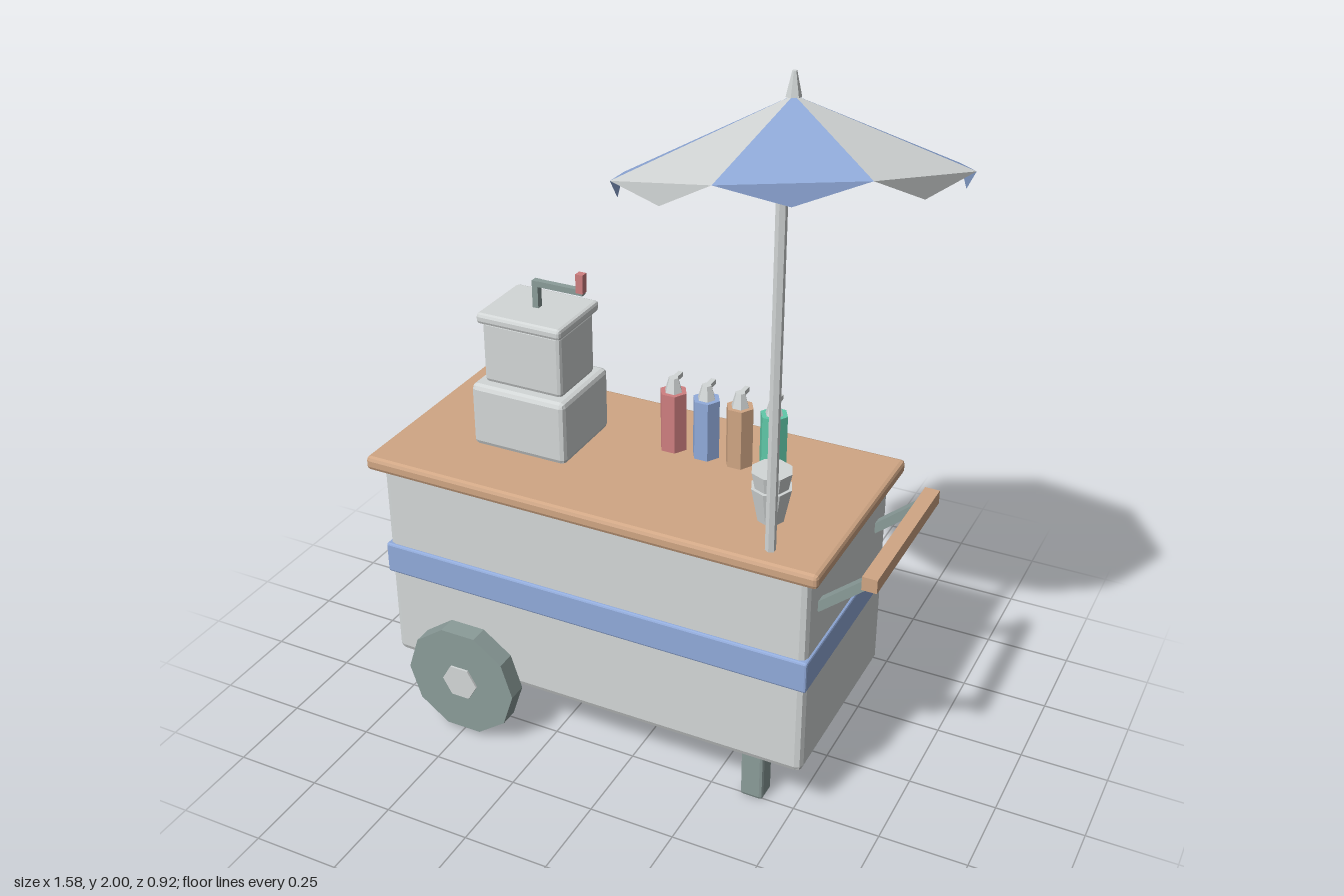
import * as THREE from 'three';
import { RoundedBoxGeometry } from 'three/addons/geometries/RoundedBoxGeometry.js';

const paint = (name, color) => {
  const m = new THREE.MeshStandardMaterial({ color, flatShading: true });
  m.name = name;
  return m;
};

export function createModel() {
  const cart = new THREE.Group();
  cart.name = 'vendorCart';
  const grey = paint('lightGrey', 0xd3d7d7);
  const blue = paint('blue', 0x91abdb);
  const tan = paint('wood', 0xd0a684);
  const slate = paint('slate', 0x8b9c99);
  const red = paint('red', 0xcf7f80);
  const green = paint('green', 0x60c9a9);
  const canopyGrey = grey.clone();
  const canopyBlue = blue.clone();
  canopyGrey.side = canopyBlue.side = THREE.DoubleSide;

  const add = (name, geo, mat, x, y, z, parent = cart) => {
    const mesh = new THREE.Mesh(geo, mat);
    mesh.name = name;
    mesh.position.set(x, y, z);
    parent.add(mesh);
    return mesh;
  };
  // Box given by its extents, with optional chamfered edges
  const box = (name, mat, [x0, x1], [y0, y1], [z0, z1], bevel = 0) => {
    const w = x1 - x0, h = y1 - y0, d = z1 - z0;
    const geo = bevel ? new RoundedBoxGeometry(w, h, d, 1, bevel) : new THREE.BoxGeometry(w, h, d);
    if (bevel) geo.computeVertexNormals();
    return add(name, geo, mat, (x0 + x1) / 2, (y0 + y1) / 2, (z0 + z1) / 2);
  };
  // Upright prism or taper standing on y0; turn sets the facet direction
  const prism = (name, mat, rTop, rBottom, y0, y1, x, z, sides = 6, turn = 0) => {
    const geo = new THREE.CylinderGeometry(rTop, rBottom, y1 - y0, sides);
    geo.rotateY(turn);
    return add(name, geo, mat, x, (y0 + y1) / 2, z);
  };

  // Cart body, band and counter
  box('body', grey, [-0.757, 0.533], [0.165, 0.795], [-0.295, 0.295], 0.02);
  box('band', blue, [-0.763, 0.54], [0.445, 0.54], [-0.304, 0.304], 0.006);
  box('counter', tan, [-0.79, 0.567], [0.79, 0.832], [-0.328, 0.328], 0.012);

  for (const s of [1, -1]) {
    // Ten-sided wheels with six-sided hubs
    const wheel = new THREE.CylinderGeometry(0.173, 0.173, 0.056, 10);
    wheel.rotateY(Math.PI / 2).rotateX(Math.PI / 2);
    add('wheel', wheel, slate, -0.495, 0.18, s * 0.341);
    const hub = new THREE.CylinderGeometry(0.056, 0.056, 0.03, 6);
    hub.rotateY(Math.PI / 2).rotateX(Math.PI / 2);
    add('wheelHub', hub, grey, -0.495, 0.18, s * 0.36);

    // Legs and sloping handle arms
    const z = s * 0.228;
    box('leg', slate, [0.342, 0.41], [0, 0.18], [z - 0.033, z + 0.033], 0.01);
    const arm = add('handleArm', new THREE.BoxGeometry(0.19, 0.026, 0.03), slate, 0.6, 0.726, s * 0.21);
    arm.rotation.z = 0.7;
  }
  box('handleGrip', tan, [0.653, 0.695], [0.77, 0.81], [-0.243, 0.243]);

  // Grinder with stacked housing, lid and crank
  box('grinderBase', grey, [-0.557, -0.263], [0.832, 1.022], [-0.13, 0.13], 0.015);
  box('grinderUpper', grey, [-0.531, -0.287], [1.02, 1.208], [-0.096, 0.096], 0.012);
  box('grinderLid', grey, [-0.539, -0.277], [1.203, 1.235], [-0.113, 0.113], 0.01);
  box('grinderPanel', slate, [-0.492, -0.326], [0.862, 0.95], [-0.146, -0.125], 0.008);
  box('crankPost', slate, [-0.418, -0.4], [1.23, 1.315], [-0.01, 0.01]);
  box('crankArm', slate, [-0.418, -0.262], [1.298, 1.315], [-0.009, 0.009]);
  box('crankKnob', red, [-0.281, -0.259], [1.305, 1.36], [-0.011, 0.011]);

  // Row of sauce bottles, spouts facing the back
  [red, blue, tan, green].forEach((mat, i) => {
    const x = -0.044 + i * 0.101, z = -0.104;
    prism('bottle', mat, 0.04, 0.04, 0.832, 1.01, x, z, 6, Math.PI / 2);
    prism('bottleCap', grey, 0.014, 0.026, 1.01, 1.052, x, z, 6, Math.PI / 2);
    box('bottleSpout', grey, [x - 0.007, x + 0.007], [1.036, 1.05], [z - 0.045, z]);
  });

  // Two nested cups
  for (const y of [0.832, 0.88]) prism('cup', grey, 0.057, 0.037, y, y + 0.1, 0.352, 0.124, 8);

  // Parasol pole and tip
  prism('parasolPole', grey, 0.0145, 0.0145, 0.83, 1.865, 0.411, 0.262, 6);
  prism('parasolTip', grey, 0.006, 0.02, 1.935, 2, 0.325, 0, 6);

  // Tilted eight-panel canopy; each panel has a pointed flap below its rim
  const rim = (i) => {
    const a = (i * Math.PI) / 4, x = Math.cos(a) * 0.46, z = Math.sin(a) * 0.46;
    return new THREE.Vector3(0.325 + x, 1.747 + 0.167 * x + 0.266 * z, z);
  };
  const apex = new THREE.Vector3(0.325, 1.94, 0);
  for (let i = 0; i < 8; i++) {
    const a = rim(i), b = rim(i + 1);
    const flap = a.clone().lerp(b, 0.5);
    flap.y -= 0.056;
    const geo = new THREE.BufferGeometry().setFromPoints([apex, b, a, a, b, flap]);
    geo.computeVertexNormals();
    add('canopyPanel', geo, i % 2 ? canopyBlue : canopyGrey, 0, 0, 0);
  }
  return cart;
}
